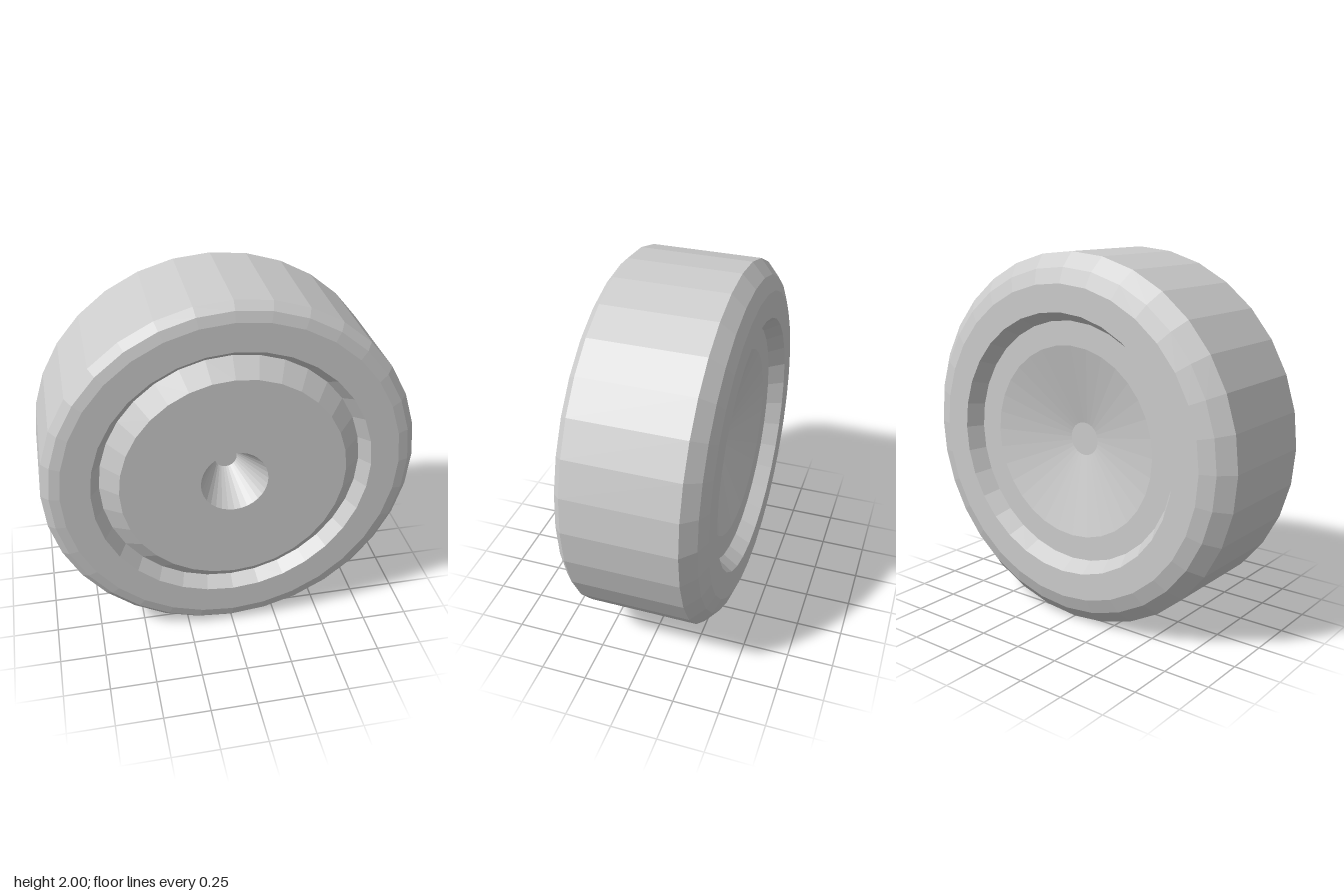
import * as THREE from 'three';

const SIDES = 32;

// Turns a [radius, z] profile (running back to front on the outside) about the wheel axis
function turned(name, profile, material) {
  const geometry = new THREE.LatheGeometry(profile.map(([r, z]) => new THREE.Vector2(r, z)), SIDES);
  geometry.rotateX(Math.PI / 2);
  const mesh = new THREE.Mesh(geometry, material);
  mesh.name = name;
  return mesh;
}

export function createModel() {
  const wheel = new THREE.Group();
  wheel.name = 'wheel';
  const material = new THREE.MeshStandardMaterial({ color: 0xcccccc, flatShading: true });

  // Tire: tapered inner walls, broad back bevel, tighter front bevel
  const tire = turned('tire', [
    [0.65, -0.3], [0.7, -0.385], [0.845, -0.385], [0.925, -0.355], [1, -0.285],
    [1, 0.315], [0.96, 0.355], [0.905, 0.37], [0.75, 0.37], [0.7, 0.3],
  ], material);

  // Hub front: raised bevelled disc with a conical axle hole
  const hubFront = turned('hubFront', [
    [0.7, 0.3], [0.605, 0.385], [0.18, 0.385], [0.06, 0.15], [0, 0.15],
  ], material);

  // Hub back: recessed floor with a shallow conical dish
  const hubBack = turned('hubBack', [
    [0, -0.19], [0.09, -0.19], [0.52, -0.3], [0.65, -0.3],
  ], material);

  wheel.add(tire, hubFront, hubBack);
  wheel.position.y = 1;

  const model = new THREE.Group();
  model.name = 'wheelModel';
  model.add(wheel);
  return model;
}
